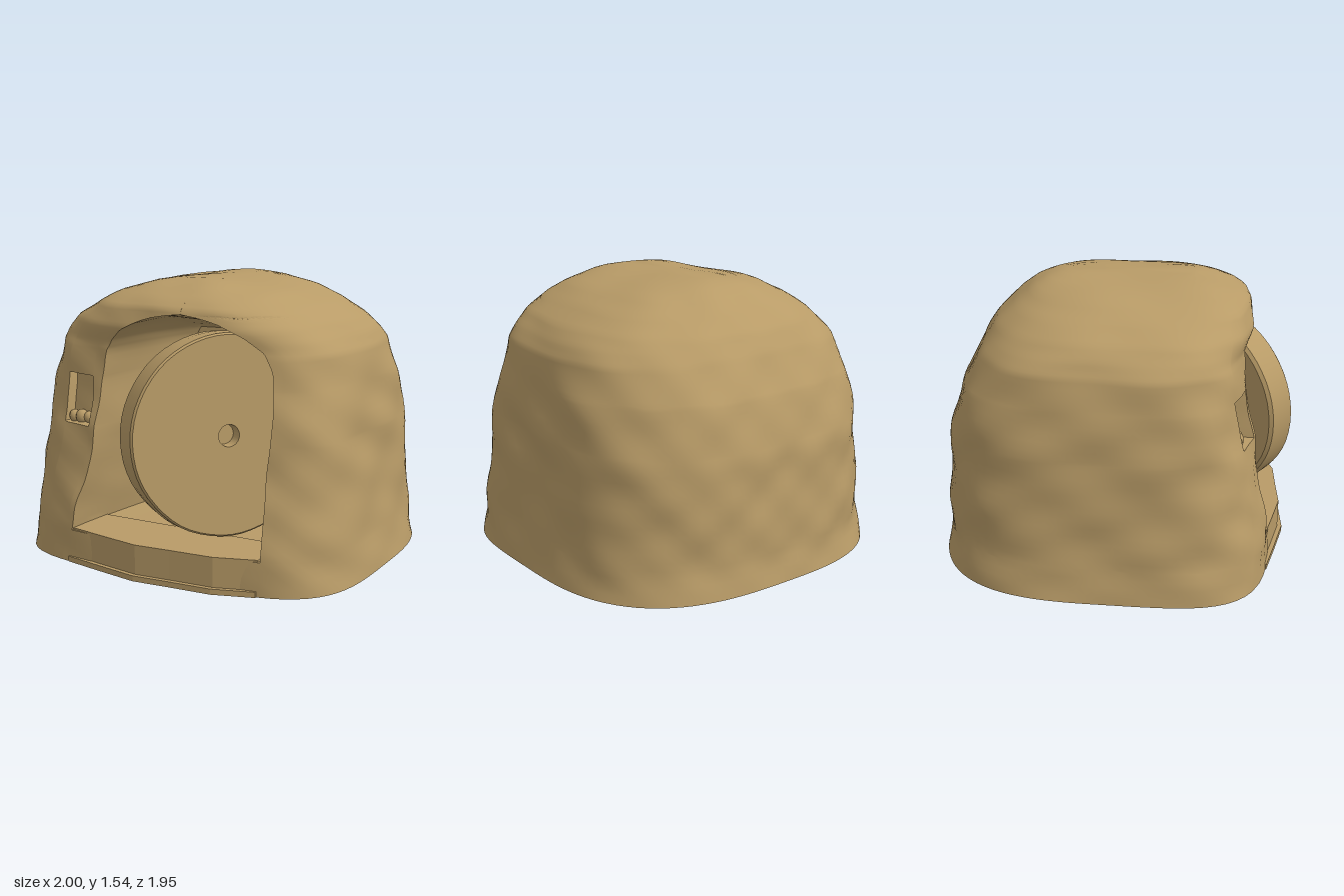
import * as THREE from 'three';
import { toCreasedNormals, mergeVertices } from 'three/addons/utils/BufferGeometryUtils.js';

const sandstone = new THREE.MeshStandardMaterial({ color: 0xb89b67 });
sandstone.name = 'sandstone';
const { lerp, smoothstep } = THREE.MathUtils;

// Piecewise-linear lookup through [y, value] pairs
function at(table, y) {
  for (let i = 1; i < table.length; i++) {
    const [y0, v0] = table[i - 1], [y1, v1] = table[i];
    if (y <= y1) return lerp(v0, v1, (y - y0) / (y1 - y0));
  }
  return table[table.length - 1][1];
}

// Rock profile by height
const HALF_WIDTH = [[0, 1], [0.2, 0.965], [0.5, 0.94], [0.8, 0.92], [1, 0.89], [1.18, 0.855], [1.25, 0.81], [1.32, 0.74], [1.4, 0.61], [1.47, 0.46], [1.52, 0.24], [1.535, 0.1]];
const FRONT = [[0, 0.875], [0.2, 0.865], [0.5, 0.815], [0.74, 0.77], [1, 0.72], [1.2, 0.695], [1.3, 0.705], [1.4, 0.68], [1.45, 0.63], [1.5, 0.53], [1.535, 0.4]];
const BACK = [[0, 0.975], [0.15, 0.95], [0.7, 0.93], [1, 0.85], [1.2, 0.75], [1.3, 0.68], [1.4, 0.57], [1.47, 0.48], [1.52, 0.38], [1.535, 0.3]];
const BROW = [[0, 0], [1.2, 0], [1.28, 0.04], [1.42, 0.04], [1.5, 0]];
// Doorway edges and depth by height
const DOOR_RIGHT_SIDE = [[0, -0.55], [0.2, -0.5], [0.5, -0.44], [0.72, -0.4], [1, -0.385], [1.15, -0.36], [1.22, -0.32], [1.28, -0.25], [1.33, -0.14], [1.36, -0.03], [1.38, 0.11]];
const DOOR_LEFT_SIDE = [[0, 0.63], [0.9, 0.63], [1.1, 0.615], [1.2, 0.56], [1.28, 0.45], [1.34, 0.31], [1.365, 0.22], [1.38, 0.11]];
const DOOR_DEPTH = [[0, 0], [0.18, 0], [0.185, 1], [1.22, 1], [1.3, 0.5], [1.35, 0.15], [1.38, 0]];
const NICHE = { x: [-0.645, -0.635, -0.54, -0.45, -0.44], y0: 0.745, y1: 1.015, depth: 0.065 };

function lump(x, y, z) {
  return 0.008 * Math.sin(6 * x + 2 * y + 1) * Math.sin(6 * z - 3 * y)
    + 0.007 * Math.sin(13 * y + 5 * x) * Math.sin(11 * z + 7 * x + 2)
    + 0.005 * Math.sin(22 * y - 7 * z) * Math.sin(19 * x + 3 + 4 * y);
}

// One horizontal section: round the outside, across the niche, then in and out of the doorway
function section(y) {
  const w = at(HALF_WIDTH, y), zf = at(FRONT, y), zb = at(BACK, y), brow = at(BROW, y);
  const round = smoothstep(y, 0.9, 1.45), nf = lerp(4.2, 3.5, round), nb = lerp(2.85, 2.5, round);
  const xl = at(DOOR_RIGHT_SIDE, y) * Math.min(1, w / 0.3), xr = at(DOOR_LEFT_SIDE, y) * Math.min(1, w / 0.3);
  const swell = x => brow * Math.exp(-(((x + 0.05) / 0.4) ** 2));
  const curve = x => zf * Math.pow(Math.max(0, 1 - Math.pow(Math.abs(x) / w, nf)), 1 / nf);
  const frontZ = x => curve(x) + swell(x);
  const pts = [];
  const shift = Math.min(0, xl + 0.41), squeeze = Math.min(1, w / 0.88);
  const cols = NICHE.x.map(x => (x + shift) * squeeze);

  const a0 = Math.atan2(curve(xr), xr);
  const a1 = Math.atan2(curve(cols[0]), cols[0]) - Math.PI * 2;
  for (let i = 0; i < 90; i++) {
    const a = lerp(a0, a1, i / 90), c = Math.cos(a), s = Math.sin(a);
    const n = s > 0 ? nf : nb, d = s > 0 ? zf : zb;
    const r = Math.pow(Math.pow(Math.abs(c) / w, n) + Math.pow(Math.abs(s) / d, n), -1 / n);
    pts.push([c * r, s * r + swell(c * r) * Math.max(0, s)]);
  }
  const inNiche = y >= NICHE.y0 + 0.004 && y <= NICHE.y1 - 0.004;
  cols.forEach((x, i) => pts.push([x, frontZ(x) - (inNiche && i > 0 && i < 4 ? NICHE.depth : 0)]));
  for (let i = 1; i < 5; i++) {
    const x = lerp(cols[4], xl, i / 5);
    pts.push([x, frontZ(x)]);
  }
  // Doorway: wall, back, wall
  const d = at(DOOR_DEPTH, y), zl = frontZ(xl), zr = frontZ(xr);
  const bl = lerp(xl, Math.min(xl + 0.1, (xl + xr) / 2), d), br = xr + 0.02 * d;
  const back = lerp(Math.min(zl, zr), -0.06, d);
  for (let i = 0; i < 8; i++) pts.push([lerp(xl, bl, (i / 8) ** 2), lerp(zl, back, i / 8)]);
  for (let i = 0; i < 8; i++) {
    const x = lerp(bl, br, i / 8);
    pts.push([x, d > 0 ? back - 0.04 * d * Math.sin(Math.PI * i / 8) : frontZ(x)]);
  }
  for (let i = 0; i < 8; i++) pts.push([lerp(br, xr, i / 8), lerp(back, zr, i / 8)]);

  const fade = Math.min(1, y * 8), roof = smoothstep(y, 1, 1.4);
  return pts.map(([x, z]) => {
    const k = 1 + fade * lump(x, y, z) * 1.2;
    return [x * k, y + 0.5 * roof * lump(x, 0.5, z), z * k];
  });
}

function rockGeometry() {
  const ys = [0.185, NICHE.y0, NICHE.y0 + 0.005, NICHE.y1 - 0.005, NICHE.y1, 1.38, 1.535];
  for (let i = 0; i < 26; i++) ys.push(i * 0.045);
  for (let y = 1.16; y < 1.53; y += 0.016) ys.push(y);
  ys.sort((a, b) => a - b);
  const rows = ys.map(section), n = rows[0].length, pos = rows.flat(2), idx = [];
  for (let i = 0; i < rows.length - 1; i++) {
    for (let j = 0; j < n; j++) {
      const k = (j + 1) % n, a = i * n + j, b = i * n + k;
      idx.push(a, b, a + n, b, b + n, a + n);
    }
  }
  // Close the base and the crown
  const base = rows.length * n, top = base + 1, last = (rows.length - 1) * n;
  pos.push(0, 0, 0, 0, 1.537, 0.05);
  for (let j = 0; j < n; j++) {
    const k = (j + 1) % n;
    idx.push(base, k, j, top, last + j, last + k);
  }
  const g = new THREE.BufferGeometry();
  g.setAttribute('position', new THREE.Float32BufferAttribute(pos, 3));
  g.setIndex(idx);
  return toCreasedNormals(g, 0.8);
}

// Flat slab from a plan outline of [x, z] points
function slab(outline, height) {
  const shape = new THREE.Shape(outline.map(([x, z]) => new THREE.Vector2(x, -z)));
  return new THREE.ExtrudeGeometry(shape, { depth: height, bevelEnabled: false }).rotateX(-Math.PI / 2);
}

export function createModel() {
  const group = new THREE.Group();
  const add = (name, geometry) => {
    const mesh = new THREE.Mesh(geometry, sandstone);
    mesh.name = name;
    group.add(mesh);
    return mesh;
  };

  add('rockWithDoorway', rockGeometry());

  // Threshold with a low ledge at its foot
  const edge = [[-0.53, 0.84], [-0.3, 0.885], [-0.05, 0.93], [0.15, 0.915], [0.4, 0.9], [0.62, 0.83]];
  const rear = [[0.62, 0.55], [-0.5, 0.55]];
  add('threshold', slab([...edge, ...rear], 0.19));
  add('thresholdLedge', slab([...edge.map(([x, z]) => [x, z + 0.025]), ...rear], 0.03));

  // Round door stone with a blind socket in its face, leaning back slightly
  const profile = [[0, -0.19], [0.52, -0.19], [0.54, -0.175], [0.545, -0.09], [0.54, -0.012], [0.53, 0], [0.06, 0], [0.055, -0.07], [0, -0.07]];
  const stone = new THREE.LatheGeometry(profile.map(p => new THREE.Vector2(...p)), 56);
  stone.deleteAttribute('uv');
  stone.deleteAttribute('normal');
  const disc = mergeVertices(stone, 1e-4);
  const p = disc.attributes.position;
  for (let i = 0; i < p.count; i++) {
    const x = p.getX(i), z = p.getZ(i), k = 1 + 0.6 * lump(x, 0.4, z);
    p.setXYZ(i, x * k, p.getY(i), z * k);
  }
  const door = add('rollingStone', toCreasedNormals(disc.rotateX(Math.PI / 2), 0.6));
  door.position.set(0.3, 0.735, 0.55);
  door.rotation.set(-0.06, 0.92, 0, 'YXZ');

  // Small stones lying in the wall niche
  [[-0.6, 0.03], [-0.55, 0.035], [-0.505, 0.028]].forEach(([x, r], i) => {
    const pebble = add('nichePebble' + (i + 1), new THREE.SphereGeometry(r, 12, 8));
    pebble.position.set(x, 0.775, 0.68);
    pebble.scale.y = 1.2;
  });
  return group;
}
